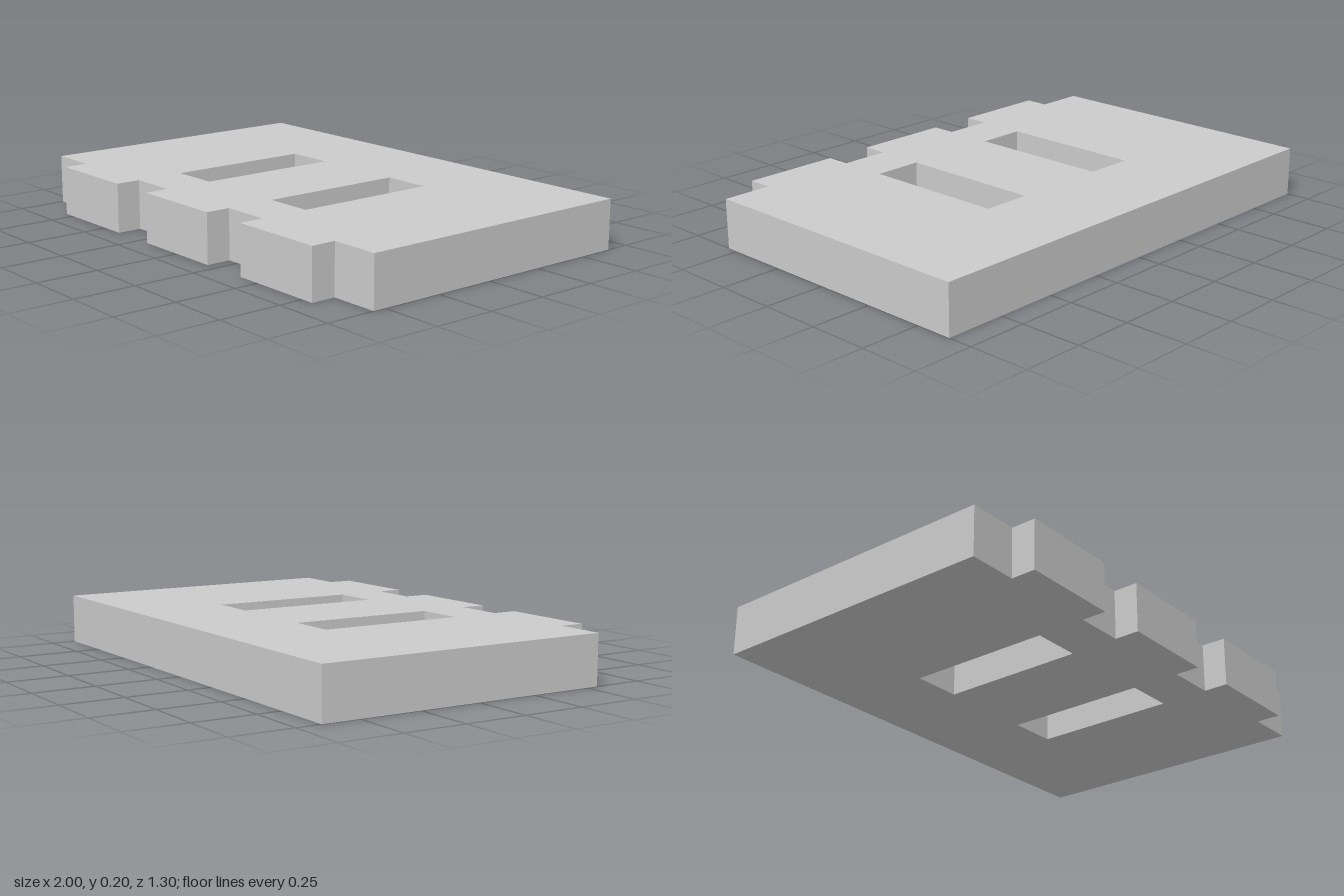
import * as THREE from 'three';

const THICKNESS = 0.2;
const BACK = -0.65, EDGE = 0.55, TAB_END = 0.65;
const TABS = [[-0.8, -0.4], [-0.2, 0.2], [0.4, 0.8]]; // x ranges of the front tabs
const SLOTS = [[-0.4, -0.2], [0.2, 0.4]]; // x ranges of the through slots
const SLOT_BACK = -0.25, SLOT_FRONT = 0.35;

// Plan points are given as x, z; the shape's y axis is -z.
const point = (x, z) => new THREE.Vector2(x, -z);

export function createModel() {
  const group = new THREE.Group();
  group.name = 'slottedPanel';

  // Plate outline with three joint tabs along the front edge
  const outline = [point(-1, BACK), point(-1, EDGE)];
  for (const [a, b] of TABS) {
    outline.push(point(a, EDGE), point(a, TAB_END), point(b, TAB_END), point(b, EDGE));
  }
  outline.push(point(1, EDGE), point(1, BACK));
  const shape = new THREE.Shape(outline);

  // Two rectangular slots cut right through
  for (const [a, b] of SLOTS) {
    shape.holes.push(new THREE.Path([
      point(a, SLOT_BACK), point(b, SLOT_BACK), point(b, SLOT_FRONT), point(a, SLOT_FRONT),
    ]));
  }

  // Lay the extruded plate flat on the ground plane
  const geometry = new THREE.ExtrudeGeometry(shape, { depth: THICKNESS, bevelEnabled: false });
  geometry.rotateX(-Math.PI / 2);
  const panel = new THREE.Mesh(geometry, new THREE.MeshStandardMaterial({ color: 0xcccccc }));
  panel.name = 'tabbedPlate';
  group.add(panel);
  return group;
}
